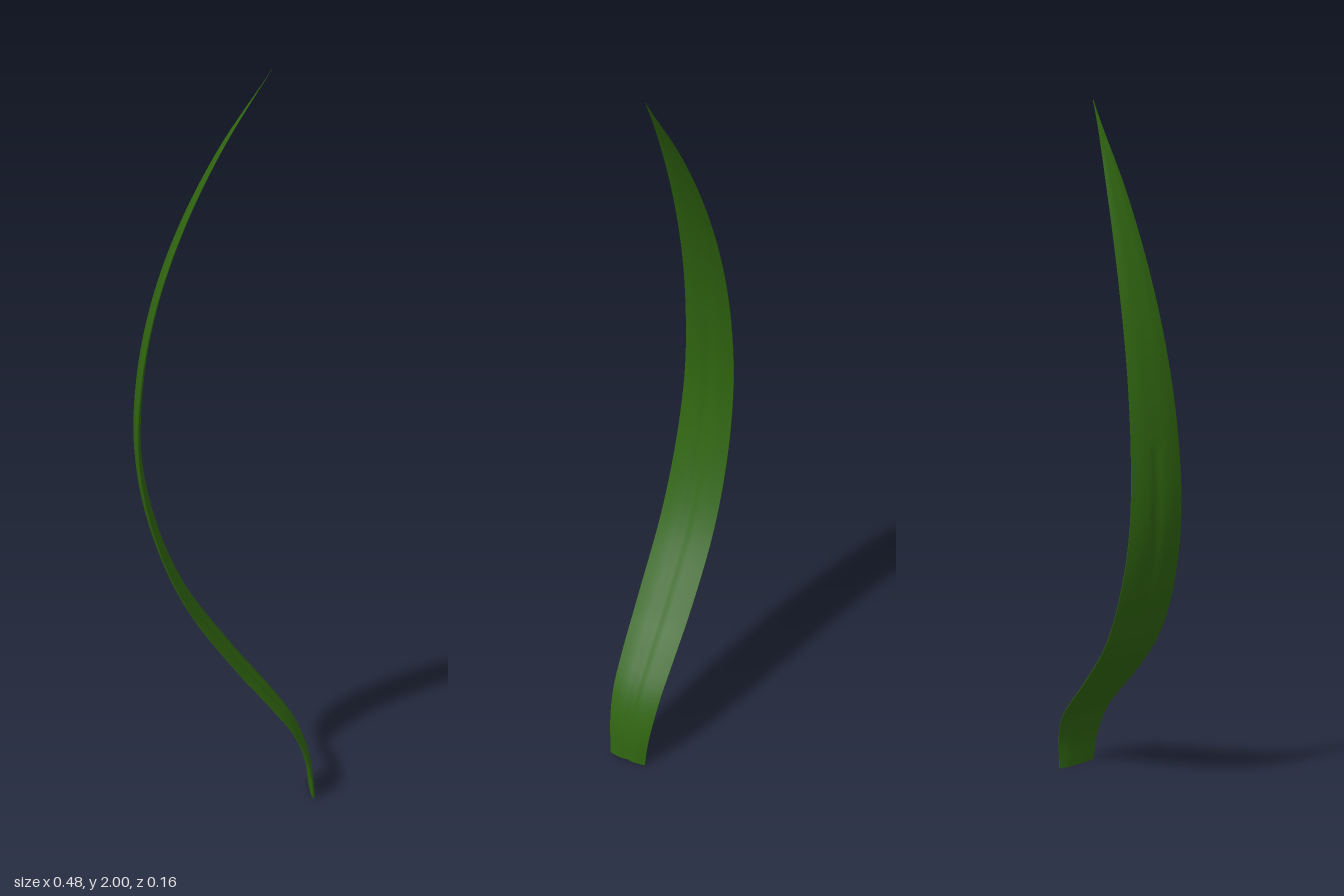
import * as THREE from 'three';
import { toCreasedNormals } from 'three/addons/utils/BufferGeometryUtils.js';

// S-curved centre line of the leaf, in the xy plane
const spine = new THREE.CatmullRomCurve3([
  [0.231, 0], [0.217, 0.1], [0.178, 0.2], [0.105, 0.3], [0.024, 0.4], [-0.115, 0.6], [-0.195, 0.8],
  [-0.232, 1], [-0.225, 1.2], [-0.187, 1.4], [-0.118, 1.6], [-0.02, 1.8], [0.107, 2],
].map(([x, y]) => new THREE.Vector3(x, y, 0)));

// Half width along the height
const widths = new THREE.SplineCurve([
  [0, 0.054], [0.2, 0.071], [0.4, 0.08], [0.6, 0.081], [0.8, 0.078], [1, 0.073], [1.2, 0.067],
  [1.4, 0.058], [1.6, 0.045], [1.8, 0.026], [2, 0.0008],
].map(([y, w]) => new THREE.Vector2(y, w)));

// Half section: fraction of width, fraction of thickness (grooved midrib, thin edge)
const half = [[1, 0.12], [0.7, 0.65], [0.35, 1], [0.15, 0.85], [0, 0.5]];
const face = [...half, ...half.slice(0, -1).reverse().map(([z, t]) => [-z, t])];
const section = [...face, ...face.map(([z, t]) => [-z, -t])];

function bladeGeometry(rings = 72) {
  const pos = [], index = [], n = section.length;
  for (let i = 0; i <= rings; i++) {
    const u = i / rings;
    const p = spine.getPointAt(u), t = spine.getTangentAt(u);
    const w = widths.getPoint(Math.min(1, Math.max(0, p.y / 2))).y;
    const thick = 0.0085 * Math.min(1, w / 0.07);
    for (const [sz, st] of section) {
      pos.push(p.x + t.y * st * thick, Math.max(0, p.y - t.x * st * thick), sz * w);
    }
  }
  for (let i = 0; i < rings; i++) {
    for (let j = 0; j < n; j++) {
      const a = i * n + j, b = i * n + (j + 1) % n;
      index.push(a, b, b + n, a, b + n, a + n);
    }
  }
  // Closed cut end at the base
  const centre = pos.length / 3;
  pos.push(spine.getPointAt(0).x, 0, 0);
  for (let j = 0; j < n; j++) index.push(centre, (j + 1) % n, j);

  const geo = new THREE.BufferGeometry();
  geo.setAttribute('position', new THREE.Float32BufferAttribute(pos, 3));
  geo.setIndex(index);
  return toCreasedNormals(geo, 0.7);
}

export function createModel() {
  const group = new THREE.Group();
  group.name = 'grassBlade';
  const blade = new THREE.Mesh(bladeGeometry(), new THREE.MeshStandardMaterial({ color: 0x2f6410 }));
  blade.name = 'leafBlade';
  group.add(blade);
  return group;
}
